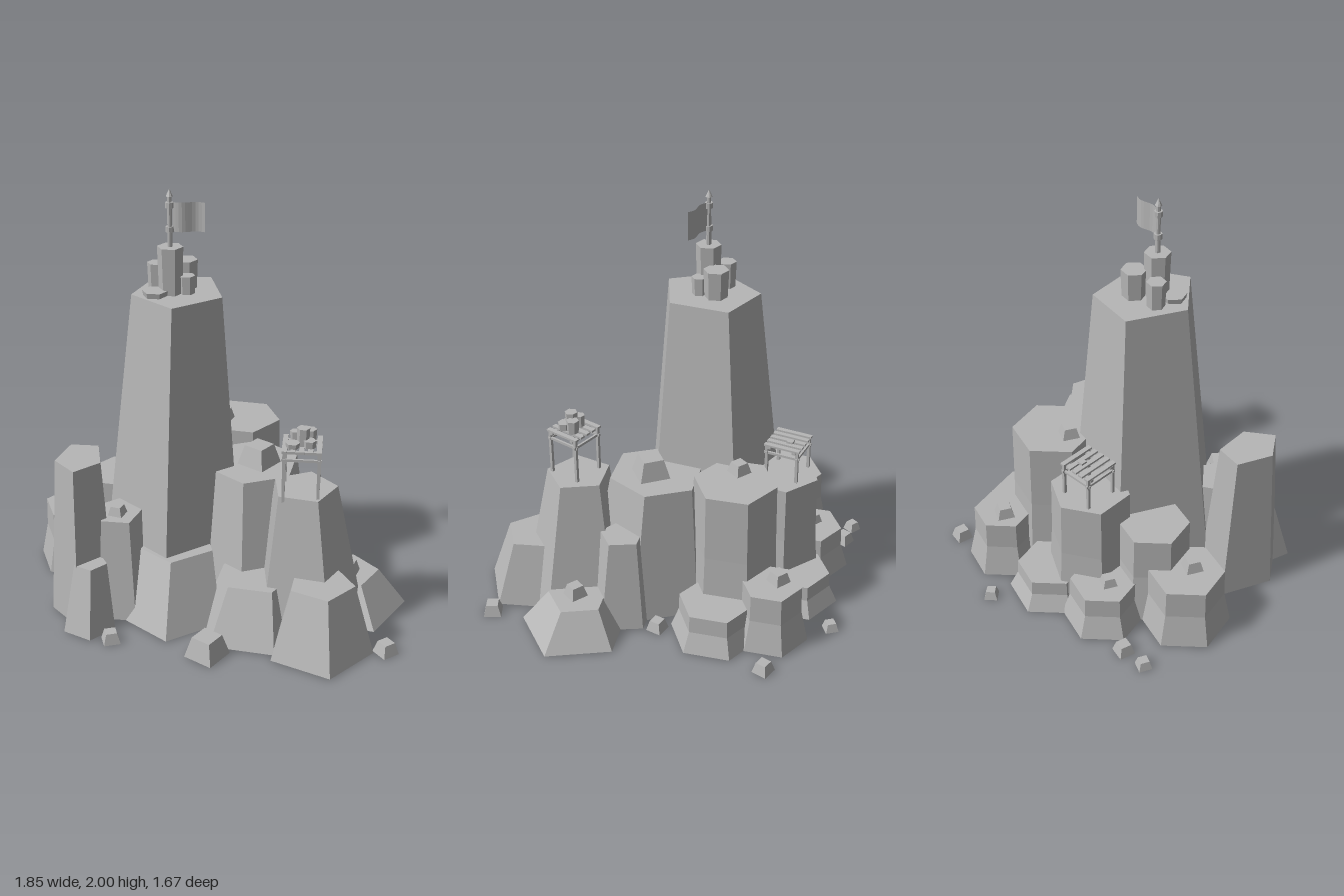
import * as THREE from 'three';

const stone = new THREE.MeshStandardMaterial({ color: 0xb6b6b6 });
stone.name = 'grey stone';
const cloth = new THREE.MeshStandardMaterial({ color: 0xb6b6b6, side: THREE.DoubleSide });
cloth.name = 'grey cloth';

// Adds a mesh whose faces each have their own normal
function add(parent, name, geometry, x = 0, y = 0, z = 0, turn = 0, material = stone) {
  const faceted = geometry.toNonIndexed();
  faceted.computeVertexNormals();
  const mesh = new THREE.Mesh(faceted, material);
  mesh.name = name;
  mesh.position.set(x, y, z);
  mesh.rotation.y = turn;
  parent.add(mesh);
}

// Leaning tapered rock; bottom and top are [x, z, radius], squeeze narrows it in x
function rock(parent, name, height, sides, turn, bottom, top, squeeze = 1) {
  const g = new THREE.CylinderGeometry(top[2], bottom[2], height, sides);
  g.rotateY(turn).scale(squeeze, 1, 1);
  const p = g.attributes.position;
  for (let i = 0; i < p.count; i++) {
    const [cx, cz] = p.getY(i) > 0 ? top : bottom;
    p.setX(i, p.getX(i) + cx);
    p.setZ(i, p.getZ(i) + cz);
  }
  add(parent, name, g, 0, height / 2 + 0.005, 0);
}

// Six-sided column: straight wall above a flared foot
function column(parent, x, z, radius, height, turn = 0.4) {
  const profile = [
    new THREE.Vector2(0, 0),
    new THREE.Vector2(radius + 0.05 - height * 0.04, 0),
    new THREE.Vector2(radius * 1.02, height * 0.54),
    new THREE.Vector2(radius, height),
    new THREE.Vector2(0, height),
  ];
  add(parent, 'rearColumn', new THREE.LatheGeometry(profile, 6), x, 0.005, z, turn);
}

// Four-sided small boulder resting on y
function boulder(parent, x, y, z, r, turn = 0.5) {
  const h = r * 0.95;
  add(parent, 'boulder', new THREE.CylinderGeometry(r * 0.66, r, h, 4), x, y + h / 2, z, turn);
}

// Hexagonal turret standing on y
function turret(parent, x, y, z, r, h) {
  add(parent, 'turret', new THREE.CylinderGeometry(r, r * 0.9, h, 6), x, y + h / 2, z, 0.5);
}

// Wooden lookout: posts, rails, beams and slats
function lookout(parent, x, y, z, size, height, turn) {
  const g = new THREE.Group();
  g.name = 'lookoutPlatform';
  g.position.set(x, y, z);
  g.rotation.y = turn;
  parent.add(g);
  const h = size / 2 - 0.012;
  for (const s of [-1, 1]) {
    for (const t of [-1, 1]) {
      add(g, 'post', new THREE.BoxGeometry(0.014, height + 0.02, 0.014), s * h, height / 2 - 0.01, t * h);
    }
    add(g, 'sideRail', new THREE.BoxGeometry(0.01, 0.012, size), s * h, height - 0.045, 0);
    add(g, 'endRail', new THREE.BoxGeometry(size, 0.012, 0.01), 0, height - 0.045, s * h);
    add(g, 'beam', new THREE.BoxGeometry(size, 0.012, 0.016), 0, height - 0.014, s * h * 0.8);
  }
  for (let i = -2; i <= 2; i++) {
    add(g, 'slat', new THREE.BoxGeometry(size * 0.13, 0.01, size), i * size * 0.215, height - 0.003, 0);
  }
}

export function createModel() {
  const model = new THREE.Group();
  model.name = 'rockyFortress';

  // Peak and the rocks in front and at the sides
  rock(model, 'mainPeak', 1.51, 5, 0, [-0.198, 0.03, 0.409], [-0.168, 0.02, 0.245], 0.89);
  rock(model, 'shoulderRock', 0.68, 6, -0.12, [0.2, 0.11, 0.33], [0.185, 0.07, 0.235], 0.95);
  rock(model, 'lookoutRock', 0.7, 5, 0.45, [0.465, 0.35, 0.28], [0.44, 0.34, 0.155]);
  rock(model, 'frontRightRock', 0.325, 5, 0.23, [0.535, 0.58, 0.25], [0.535, 0.55, 0.155]);
  rock(model, 'frontMiddleRock', 0.26, 5, 0.5, [0.21, 0.44, 0.26], [0.23, 0.4, 0.175]);
  rock(model, 'frontLeftRock', 0.32, 5, 0, [-0.17, 0.36, 0.25], [-0.165, 0.25, 0.19]);
  rock(model, 'tallSideRock', 0.785, 5, 0, [-0.595, 0.31, 0.225], [-0.6, 0.315, 0.155], 0.72);
  rock(model, 'steppedSideRock', 0.5, 5, 0.6, [-0.42, 0.3, 0.19], [-0.425, 0.29, 0.14], 0.8);
  rock(model, 'lowSideRock', 0.315, 5, 0.2, [-0.545, 0.515, 0.125], [-0.54, 0.46, 0.08]);
  rock(model, 'outerRightRock', 0.175, 5, 0.45, [0.67, 0.19, 0.27], [0.655, 0.18, 0.15]);
  rock(model, 'innerRightRock', 0.465, 5, 0.4, [0.46, 0.08, 0.17], [0.45, 0.07, 0.11]);

  // Ring of columns at the rear
  column(model, 0.155, -0.59, 0.145, 0.3);
  column(model, -0.17, -0.52, 0.165, 0.16);
  column(model, -0.46, -0.41, 0.16, 0.22);
  column(model, -0.7, -0.11, 0.18, 0.31);
  column(model, -0.49, -0.15, 0.17, 0.48);
  column(model, -0.26, -0.35, 0.19, 0.62, 0.2);
  column(model, 0.09, -0.325, 0.2, 0.73);
  column(model, 0.3, -0.375, 0.18, 0.19);

  // Boulders on top of the rocks and columns
  boulder(model, 0.215, 0.68, 0.08, 0.105, 0.2);
  boulder(model, -0.43, 0.5, 0.32, 0.05);
  boulder(model, -0.49, 0.22, -0.405, 0.05);
  boulder(model, -0.7, 0.31, -0.075, 0.06);
  boulder(model, 0.12, 0.3, -0.605, 0.06);
  boulder(model, 0.01, 0.73, -0.29, 0.06);
  boulder(model, 0.66, 0.18, 0.195, 0.06);

  // Boulders scattered on the ground: x, z, radius
  for (const [x, z, r] of [
    [-0.055, -0.8, 0.045], [0.39, -0.715, 0.055], [-0.835, -0.445, 0.045], [-0.71, -0.47, 0.055],
    [-0.425, 0.62, 0.055], [0.03, 0.685, 0.105], [0.84, 0.585, 0.06], [0.45, -0.135, 0.055],
  ]) boulder(model, x, 0, z, r, x * 1.5 + 0.2);

  // Turrets on the summit
  turret(model, -0.2, 1.51, 0.055, 0.06, 0.225);
  turret(model, -0.145, 1.51, -0.03, 0.06, 0.14);
  turret(model, -0.27, 1.51, 0, 0.045, 0.13);
  turret(model, -0.125, 1.51, 0.05, 0.038, 0.09);
  turret(model, -0.265, 1.51, 0.1, 0.06, 0.03);

  // Flag pole with collars and finial
  const px = -0.2, pz = 0.055;
  add(model, 'flagPole', new THREE.CylinderGeometry(0.01, 0.012, 0.24, 8), px, 1.85, pz);
  for (const y of [1.815, 1.925]) {
    add(model, 'poleCollar', new THREE.CylinderGeometry(0.019, 0.019, 0.026, 8), px, y, pz);
  }
  add(model, 'finial', new THREE.ConeGeometry(0.016, 0.035, 8), px, 1.9825, pz);

  // Gently waving flag
  const flag = new THREE.PlaneGeometry(0.145, 0.135, 10, 1);
  const p = flag.attributes.position;
  for (let i = 0; i < p.count; i++) p.setZ(i, Math.sin((p.getX(i) + 0.0725) * 43) * 0.01);
  add(model, 'flag', flag, -0.115, 1.872, pz, 0, cloth);

  // Lookouts
  lookout(model, 0.427, 0.7, 0.37, 0.18, 0.235, 0);
  lookout(model, -0.28, 0.62, -0.372, 0.18, 0.18, 0.2);
  add(model, 'crate', new THREE.BoxGeometry(0.03, 0.012, 0.03), -0.265, 0.806, -0.395, 0.2);

  // Small turrets on the front lookout
  turret(model, 0.43, 0.935, 0.38, 0.03, 0.085);
  turret(model, 0.46, 0.935, 0.345, 0.03, 0.065);
  turret(model, 0.395, 0.935, 0.36, 0.025, 0.06);
  turret(model, 0.385, 0.935, 0.41, 0.033, 0.025);
  turret(model, 0.46, 0.935, 0.4, 0.03, 0.035);

  return model;
}
